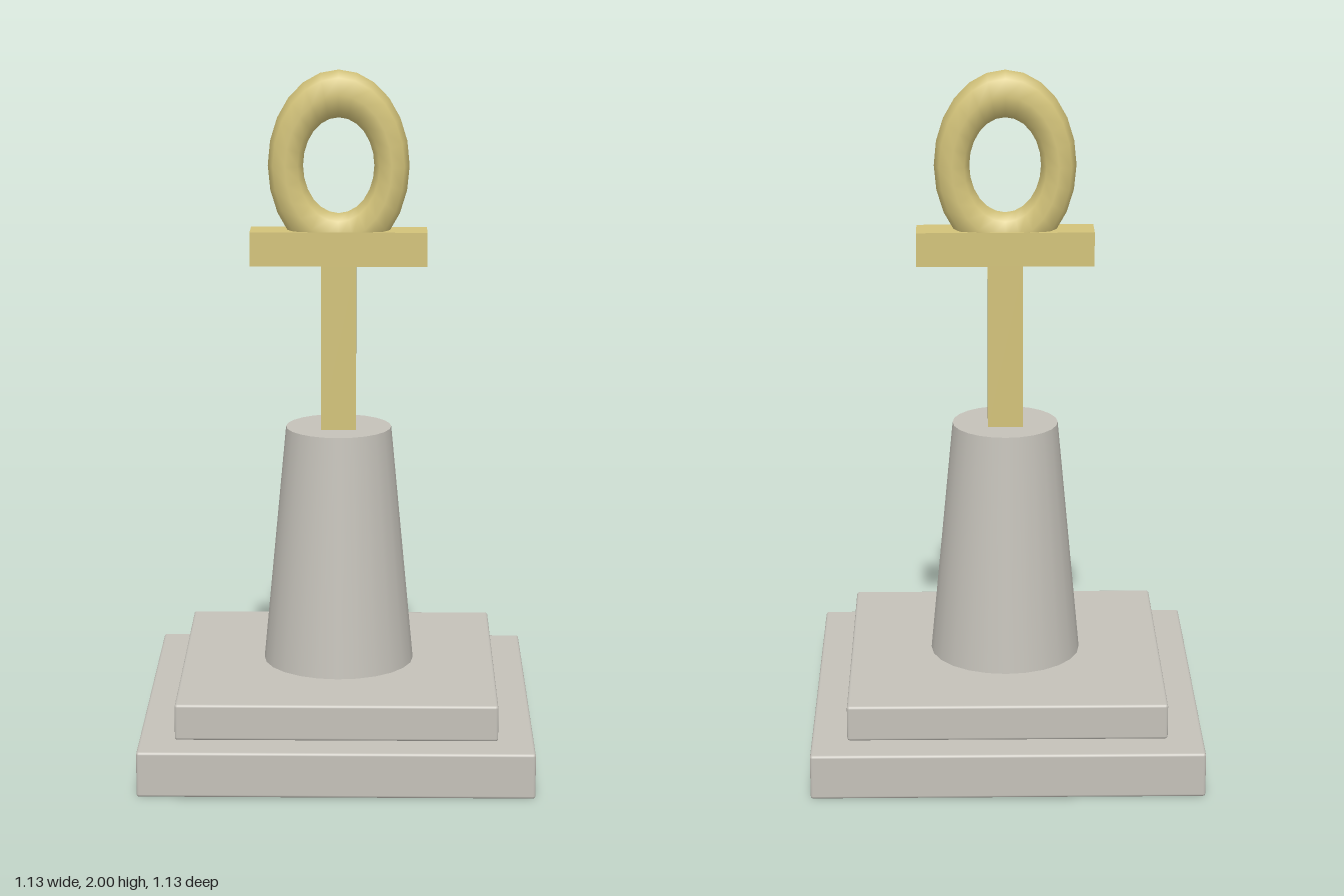
import * as THREE from 'three';
import { RoundedBoxGeometry } from 'three/addons/geometries/RoundedBoxGeometry.js';

export function createModel() {
  const model = new THREE.Group();
  model.name = 'loopCrossMonument';

  const stone = new THREE.MeshStandardMaterial({ color: 0xc4c1b9 });
  stone.name = 'stone';
  const gold = new THREE.MeshStandardMaterial({ color: 0xd2c279 });
  gold.name = 'gold';

  const add = (name, geometry, material, y) => {
    const mesh = new THREE.Mesh(geometry, material);
    mesh.name = name;
    mesh.position.y = y;
    model.add(mesh);
    return mesh;
  };

  // Stepped square base with slightly softened edges
  add('lowerStep', new RoundedBoxGeometry(1.13, 0.133, 1.13, 2, 0.008), stone, 0.0715).position.y = 0.0665;
  add('upperStep', new RoundedBoxGeometry(0.924, 0.106, 0.924, 2, 0.008), stone, 0.187);

  // Tapered round pedestal
  add('pedestal', new THREE.CylinderGeometry(0.155, 0.222, 0.71, 24), stone, 0.595);

  // Cross: upright and crossbar
  add('upright', new THREE.BoxGeometry(0.102, 0.485, 0.102), gold, 1.1925);
  add('crossbar', new THREE.BoxGeometry(0.514, 0.1, 0.102), gold, 1.485);

  // Oval loop, a torus stretched upward with its foot sunk into the crossbar
  const loop = new THREE.TorusGeometry(0.154, 0.051, 8, 24);
  loop.scale(1, 1.35, 1);
  add('loop', loop, gold, 1.723);

  return model;
}
